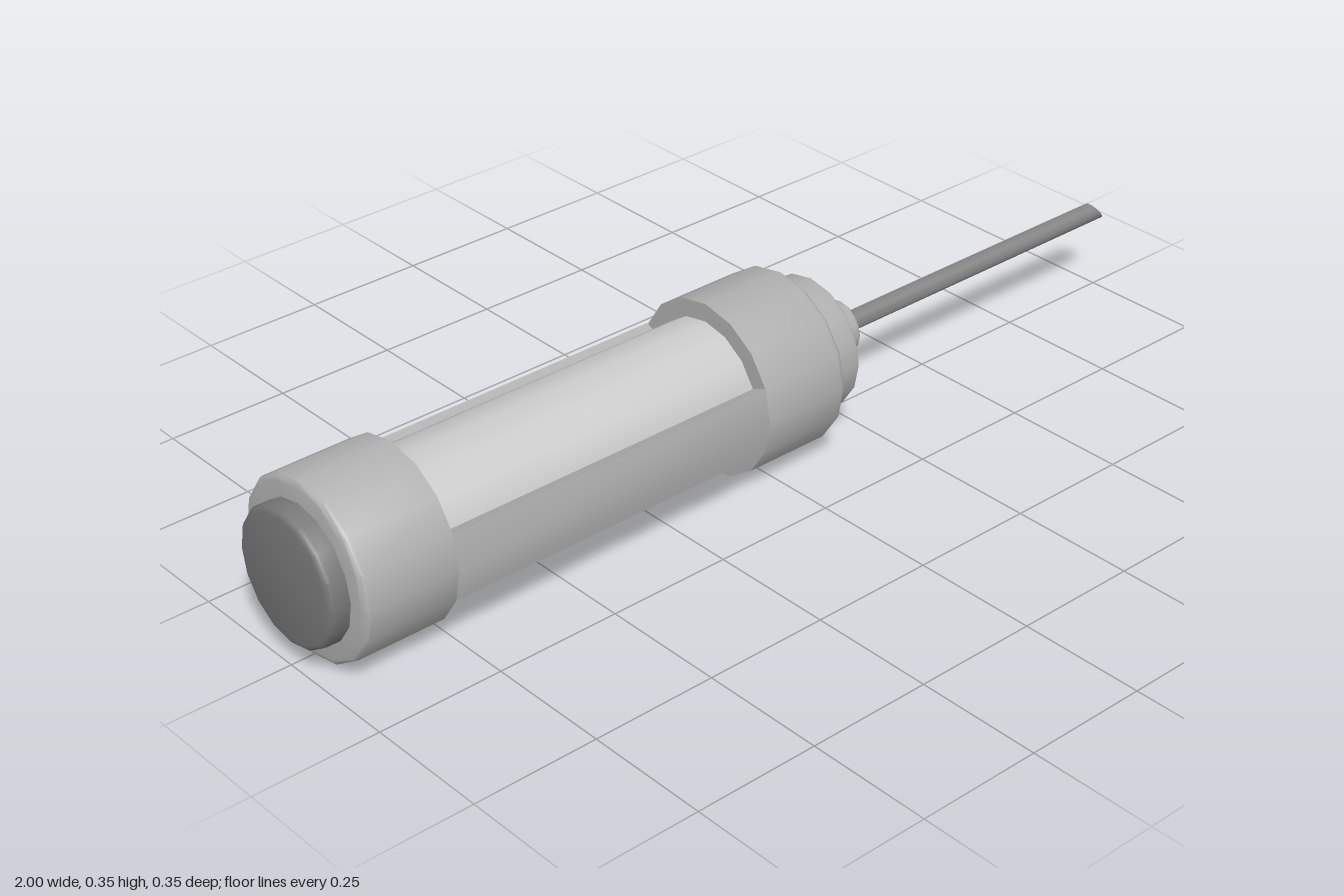
import * as THREE from 'three';
import { toCreasedNormals } from 'three/addons/utils/BufferGeometryUtils.js';

const SIDES = 16;
const mat = (name, color, side = THREE.FrontSide) => {
  const m = new THREE.MeshStandardMaterial({ color, side });
  m.name = name;
  return m;
};

// Revolve [x, radius] points about the x axis; angle 0 faces +z
function revolve(points, start = 0, sweep = Math.PI * 2, sides = SIDES) {
  const g = new THREE.LatheGeometry(points.map(([x, r]) => new THREE.Vector2(r, x)), sides, start, sweep);
  return g.rotateZ(-Math.PI / 2);
}

// Rounded outer corner: from the end face (dir = -1) or towards it (dir = 1)
function corner(x, r, bevel, dir) {
  const pts = [];
  for (let i = 0; i <= 3; i++) {
    const a = (i / 3) * Math.PI / 2;
    pts.push([x - dir * bevel * (1 - Math.sin(a)), r - bevel * (1 - Math.cos(a))]);
  }
  return dir > 0 ? pts : pts.reverse();
}

export function createModel() {
  const body = mat('casing grey', 0xb0b0b0);
  const tubeGrey = mat('tube light grey', 0xcacaca);
  const dark = mat('plunger dark grey', 0x777777);
  const steel = mat('needle grey', 0x858585);
  const red = mat('fluid red', 0xd01828);
  const edge = mat('casing edge grey', 0xb0b0b0, THREE.DoubleSide);

  const group = new THREE.Group();
  const axis = new THREE.Group();
  axis.name = 'syringe';
  axis.position.set(0, 0.175, 0.002);
  group.add(axis);
  const add = (name, geometry, material, parent = axis) => {
    const m = new THREE.Mesh(toCreasedNormals(geometry, 0.6), material);
    m.name = name;
    parent.add(m);
    return m;
  };

  const R = 0.174, inner = 0.14, x0 = -0.77, x1 = -0.07;

  // Casing collars at both ends of the windows
  add('rearCollar', revolve([[-0.96, 0.1], ...corner(-0.96, R, 0.012, -1), [x0, R], [x0, inner - 0.01]]), body);
  add('frontCollar', revolve([[x1, inner - 0.01], [x1, R], ...corner(0.12, R, 0.012, 1), [0.12, 0.1]]), body);

  // Side bars joining the collars, front and back
  const half = Math.PI / 8;
  for (const [name, turn, shift] of [['frontBar', 0, 0], ['backBar', Math.PI, -0.003]]) {
    const bar = new THREE.Group();
    bar.name = name;
    bar.position.z = shift;
    axis.add(bar);
    const loop = [[x0, inner], [x0, R], [x1, R], [x1, inner], [x0, inner]];
    add('barShell', revolve(loop, turn - half, half * 2, 2), body, bar);
    for (const s of [-1, 1]) {
      const side = new THREE.PlaneGeometry(x1 - x0, R - inner)
        .rotateX(Math.PI / 2)
        .translate((x0 + x1) / 2, 0, (R + inner) / 2)
        .rotateX(turn + s * half);
      add('barEdge', side, edge, bar);
    }
  }

  // Inner tube seen through the windows
  add('innerTube', revolve([[x0 - 0.05, 0.138], [x1 + 0.05, 0.138]]), tubeGrey);

  // Rear plunger button
  add('plungerCap', revolve([[-1, 0], ...corner(-1, 0.132, 0.012, -1), [-0.95, 0.132]]), dark);

  // Stepped nose and nozzle
  add('nose', revolve([[0.11, 0.132], ...corner(0.195, 0.132, 0.006, 1), [0.195, 0.03]]), body);
  add('nozzle', revolve([[0.19, 0.055], ...corner(0.275, 0.055, 0.01, 1), [0.275, 0.013]]), body);

  // Hollow needle with a slanted tip
  const needle = revolve([[0.26, 0.019], [0.985, 0.019], [0.985, 0.014], [0.26, 0.014]]);
  const p = needle.attributes.position;
  for (let i = 0; i < p.count; i++) {
    if (p.getX(i) > 0.9) p.setX(i, 0.985 - p.getY(i) * 0.79);
  }
  add('needle', needle, steel);

  // Fluid at the bottom of the needle bore
  add('fluid', new THREE.CircleGeometry(0.0145, SIDES).rotateY(Math.PI / 2).translate(0.27, 0, 0), red);

  return group;
}
